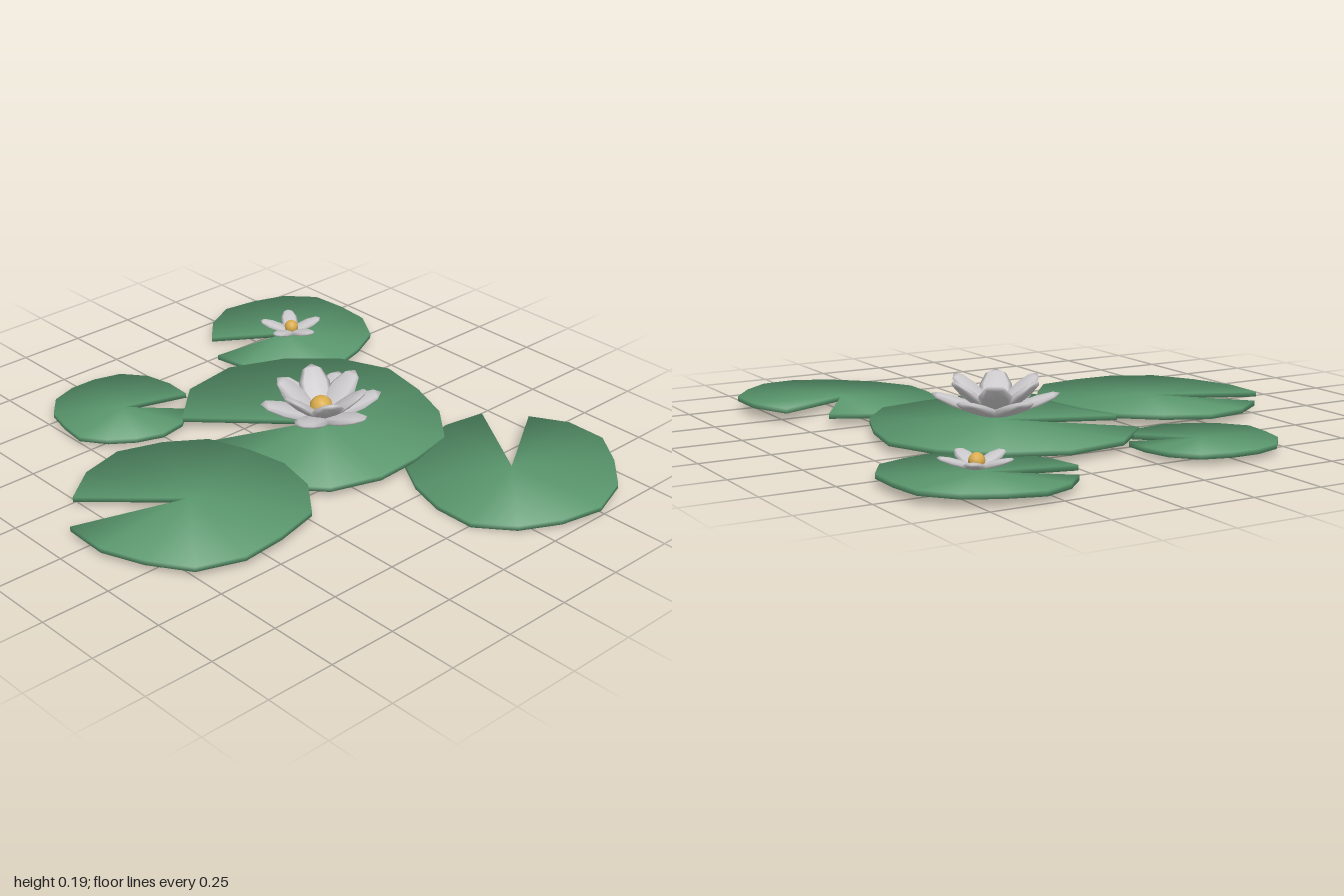
import * as THREE from 'three';

const mat = (name, color, side = THREE.FrontSide) => {
  const m = new THREE.MeshStandardMaterial({ color, side });
  m.name = name;
  return m;
};

// Smooth normals weighted by corner angle, so thin rims round over softly
function smoothNormals(geometry) {
  const pos = geometry.attributes.position, index = geometry.index.array;
  const sums = Array.from({ length: pos.count }, () => new THREE.Vector3());
  for (let i = 0; i < index.length; i += 3) {
    const ids = [index[i], index[i + 1], index[i + 2]];
    const p = ids.map(id => new THREE.Vector3().fromBufferAttribute(pos, id));
    const n = p[1].clone().sub(p[0]).cross(p[2].clone().sub(p[0])).normalize();
    for (let k = 0; k < 3; k++) {
      const a = p[(k + 1) % 3].clone().sub(p[k]);
      const b = p[(k + 2) % 3].clone().sub(p[k]);
      sums[ids[k]].addScaledVector(n, a.angleTo(b));
    }
  }
  const normals = sums.flatMap(s => s.normalize().toArray());
  geometry.setAttribute('normal', new THREE.Float32BufferAttribute(normals, 3));
}

// Thin notched leaf: a fan of uneven radii around the notch point, with a rim
function padGeometry({ x, y, z, tilt, from, to, radii }) {
  const half = 0.009, ring = [[0, 0]];
  radii.forEach((r, i) => {
    const a = THREE.MathUtils.degToRad(from + (to - from) * i / (radii.length - 1));
    ring.push([r / 100 * Math.cos(a), r / 100 * Math.sin(a)]);
  });
  const n = ring.length, verts = [], index = [];
  for (const side of [half, -half])
    for (const [dx, dz] of ring)
      verts.push(x + dx, y + tilt[0] * dx + tilt[1] * dz + side, z + dz);
  for (let i = 1; i < n - 1; i++)
    index.push(0, i + 1, i, n, n + i, n + i + 1);
  for (let i = 0; i < n; i++) {
    const j = (i + 1) % n;
    index.push(i, j, n + j, i, n + j, n + i);
  }
  const g = new THREE.BufferGeometry();
  g.setAttribute('position', new THREE.Float32BufferAttribute(verts, 3));
  g.setIndex(index);
  smoothNormals(g);
  return g;
}

// Radii are in hundredths, angles in degrees from +x towards +z
const PADS = [
  { name: 'largePad', x: -0.053, y: 0.035, z: -0.195, tilt: [0, 0], from: 135, to: 471.5,
    radii: [50, 54, 54, 51, 50, 48.5, 43.5, 43.5, 45, 42, 44, 47, 48, 45, 42.5] },
  { name: 'frontPad', x: 0.043, y: 0.036, z: 0.5, tilt: [0, -0.02], from: 134.4, to: 468.6,
    radii: [39, 40, 41, 39, 39.5, 37, 38.5, 40.5, 42, 39, 40.5, 41.5, 39, 40, 41.5] },
  { name: 'rightBackPad', x: -0.68, y: 0.028, z: -0.597, tilt: [-0.015, -0.03], from: 125.4, to: 457.7,
    radii: [29.5, 30.5, 32, 30.5, 32, 33, 31, 32.5, 33, 31, 32, 32, 31, 30.5, 32] },
  { name: 'smallPad', x: -0.626, y: 0.028, z: 0.26, tilt: [-0.01, 0], from: -45, to: 287.3,
    radii: [23.5, 25, 25, 24, 24.5, 26, 24, 25, 25.5, 24.5, 24.5, 26, 25.5, 24.5, 25] },
  { name: 'leftBackPad', x: 0.62, y: 0.029, z: -0.463, tilt: [0, -0.05], from: -121.7, to: 211.4,
    radii: [34.5, 36.5, 37.5, 35.5, 37, 38, 36.5, 37, 38, 35.5, 35, 37, 35, 35.5, 37] },
];

// Ring of flattened pointed petals leaning outwards
function petalRing(name, material, count, length, width, thick, lift, turn) {
  const ring = new THREE.Group();
  ring.name = name;
  const g = new THREE.SphereGeometry(0.5, 8, 5);
  g.rotateZ(-Math.PI / 2);
  g.scale(length, thick, width);
  g.translate(length / 2, 0, 0);
  g.rotateZ(THREE.MathUtils.degToRad(lift));
  for (let i = 0; i < count; i++) {
    const petal = new THREE.Mesh(g, material);
    petal.name = 'petal';
    petal.rotation.y = turn + i * 2 * Math.PI / count;
    ring.add(petal);
  }
  return ring;
}

function flowerCentre(material, radius, y) {
  const m = new THREE.Mesh(new THREE.SphereGeometry(radius, 10, 8), material);
  m.name = 'flowerCentre';
  m.position.y = y;
  return m;
}

export function createModel() {
  const model = new THREE.Group();
  model.name = 'waterLilies';
  const leaf = mat('leafGreen', 0x5a986e);
  const white = mat('petalWhite', 0xcac8ca);
  const gold = mat('centreGold', 0xd9ab4c);

  // Floating leaves
  for (const pad of PADS) {
    const m = new THREE.Mesh(padGeometry(pad), leaf);
    m.name = pad.name;
    model.add(m);
  }

  // Large flower with two rings of petals
  const large = new THREE.Group();
  large.name = 'largeFlower';
  large.position.set(-0.053, 0.055, -0.195);
  large.add(
    petalRing('outerPetals', white, 6, 0.235, 0.12, 0.035, 20, 0),
    petalRing('innerPetals', white, 6, 0.215, 0.12, 0.035, 39, Math.PI / 6),
    flowerCentre(gold, 0.043, 0.045));
  model.add(large);

  // Small flower with a single ring
  const small = new THREE.Group();
  small.name = 'smallFlower';
  small.position.set(-0.66, 0.045, -0.605);
  small.add(
    petalRing('petals', white, 5, 0.13, 0.066, 0.022, 17, 0),
    flowerCentre(gold, 0.027, 0.022));
  model.add(small);

  return model;
}
